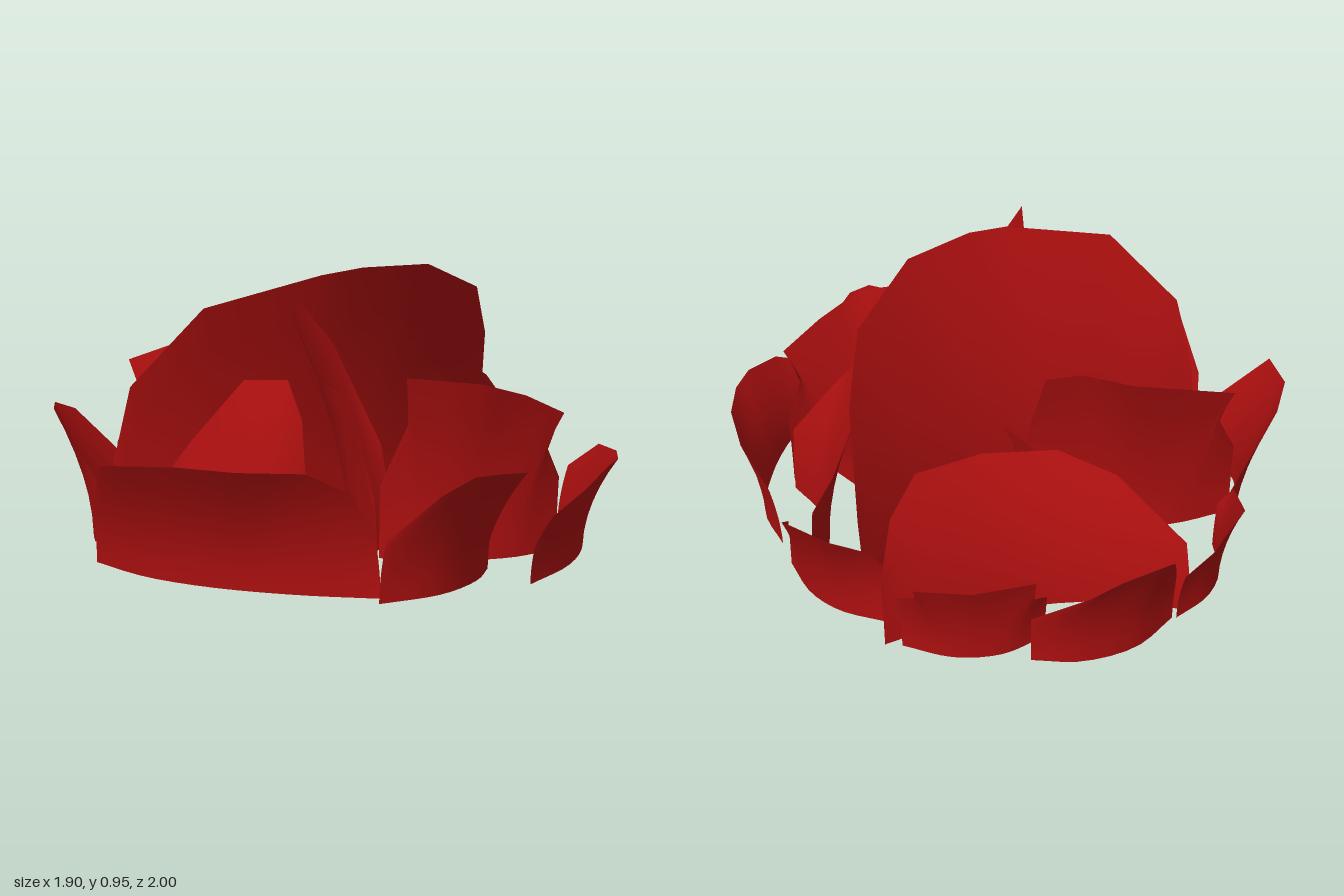
import * as THREE from 'three';

const material = new THREE.MeshStandardMaterial({ color: 0xb01010, side: THREE.DoubleSide });
const ROWS = 6;

// A curved, flaring plate: a smooth foot curve on the ground [x, z] rising
// to an angular rim [x, y, z]. It starts upright and bends outward with height.
function plate(name, foot, rim) {
  const footCurve = new THREE.CatmullRomCurve3(foot.map(([x, z]) => new THREE.Vector3(x, 0, z)));
  const rimPath = new THREE.CurvePath();
  const pts = rim.map((p) => new THREE.Vector3(...p));
  const cols = (pts.length - 1) * 2;
  const geometry = new THREE.PlaneGeometry(1, 1, cols, ROWS);
  const pos = geometry.attributes.position;
  for (let c = 0; c <= cols; c++) {
    const k = Math.min(Math.floor(c / 2), pts.length - 2);
    const top = pts[k].clone().lerp(pts[k + 1], c / 2 - k);
    const base = footCurve.getPoint(c / cols);
    for (let r = 0; r <= ROWS; r++) {
      const t = 1 - r / ROWS, lean = Math.pow(t, 1.8);
      pos.setXYZ(r * (cols + 1) + c,
        base.x + (top.x - base.x) * lean, top.y * t, base.z + (top.z - base.z) * lean);
    }
  }
  geometry.computeVertexNormals();
  const mesh = new THREE.Mesh(geometry, material);
  mesh.name = name;
  return mesh;
}

export function createModel() {
  const group = new THREE.Group();
  group.name = 'platedCluster';
  const add = (...args) => group.add(plate(...args));

  // Tall central plate
  add('centralPlate',
    [[-0.78, -0.15], [-0.4, -0.03], [0, 0.02], [0.38, -0.03], [0.74, -0.15]],
    [[-0.77, 0.33, -0.13], [-0.74, 0.57, -0.07], [-0.56, 0.83, 0.1], [-0.2, 0.93, 0.24], [-0.05, 0.95, 0.26],
      [0.22, 0.95, 0.25], [0.52, 0.85, 0.13], [0.66, 0.67, 0], [0.74, 0.33, -0.13]]);

  // Outer ring of low plates, clockwise from the front right
  add('outerRightFrontPlate',
    [[-0.86, -0.09], [-0.82, 0.18], [-0.71, 0.42], [-0.54, 0.64], [-0.36, 0.81]],
    [[-0.88, 0.2, -0.07], [-0.95, 0.36, 0.12], [-0.94, 0.38, 0.26], [-0.87, 0.4, 0.46], [-0.76, 0.4, 0.64],
      [-0.6, 0.4, 0.77], [-0.47, 0.33, 0.815], [-0.38, 0.19, 0.81]]);
  add('outerFrontPlate',
    [[-0.4, 0.86], [-0.18, 0.87], [0.02, 0.79], [0.15, 0.68]],
    [[-0.39, 0.19, 0.88], [-0.25, 0.33, 0.97], [-0.15, 0.38, 1], [-0.06, 0.38, 1], [0.13, 0.35, 0.9],
      [0.14, 0.28, 0.82], [0.17, 0.19, 0.69]]);
  add('outerLeftFrontPlate',
    [[0.13, 0.92], [0.38, 0.8], [0.57, 0.65], [0.71, 0.48], [0.76, 0.3]],
    [[0.14, 0.13, 0.93], [0.2, 0.21, 0.94], [0.33, 0.28, 0.94], [0.5, 0.33, 0.86], [0.6, 0.33, 0.79],
      [0.7, 0.33, 0.67], [0.78, 0.32, 0.49], [0.78, 0.22, 0.33]]);
  add('outerLeftPlate',
    [[0.8, 0.19], [0.84, 0.02], [0.82, -0.12], [0.74, -0.26]],
    [[0.8, 0.18, 0.19], [0.92, 0.32, 0.04], [0.95, 0.38, -0.06], [0.91, 0.38, -0.21], [0.8, 0.32, -0.27],
      [0.72, 0.2, -0.28]]);
  add('outerLeftBackPlate',
    [[0.77, -0.39], [0.68, -0.54], [0.55, -0.63], [0.39, -0.65]],
    [[0.8, 0.22, -0.4], [0.79, 0.27, -0.49], [0.82, 0.33, -0.52], [0.69, 0.33, -0.65], [0.48, 0.3, -0.71],
      [0.47, 0.22, -0.69], [0.39, 0.17, -0.66]]);
  add('outerBackPlate',
    [[0.5, -0.71], [0.38, -0.82], [0.2, -0.88], [0.01, -0.85]],
    [[0.51, 0.18, -0.72], [0.43, 0.34, -0.91], [0.35, 0.39, -0.96], [0.18, 0.4, -1], [0.08, 0.3, -0.92],
      [0.01, 0.18, -0.86]]);
  add('outerRightBackPlate',
    [[0, -0.86], [-0.15, -0.85], [-0.27, -0.79], [-0.37, -0.66]],
    [[0.01, 0.2, -0.9], [-0.1, 0.26, -0.92], [-0.09, 0.34, -0.96], [-0.25, 0.34, -0.9], [-0.39, 0.26, -0.72],
      [-0.37, 0.18, -0.67]]);
  add('outerRightPlate',
    [[-0.42, -0.66], [-0.57, -0.58], [-0.71, -0.42], [-0.75, -0.22]],
    [[-0.43, 0.2, -0.67], [-0.66, 0.42, -0.65], [-0.77, 0.46, -0.58], [-0.84, 0.46, -0.44], [-0.76, 0.2, -0.23]]);

  // Inner back plates
  add('innerBackLongPlate',
    [[-0.06, -0.86], [0.11, -0.66], [0.32, -0.51], [0.55, -0.41], [0.81, -0.35]],
    [[-0.07, 0.25, -0.82], [0.03, 0.44, -0.59], [0.15, 0.51, -0.43], [0.37, 0.53, -0.31], [0.6, 0.53, -0.26],
      [0.72, 0.42, -0.28], [0.81, 0.25, -0.34]]);
  add('innerBackTallPlate',
    [[-0.55, -0.56], [-0.33, -0.48], [-0.13, -0.32], [0, -0.11]],
    [[-0.53, 0.3, -0.58], [-0.42, 0.47, -0.6], [-0.45, 0.58, -0.64], [-0.09, 0.7, -0.52], [0, 0.71, -0.38],
      [0.08, 0.68, -0.29], [0.02, 0.3, -0.11]]);
  add('innerBackRightPlate',
    [[-0.47, -0.5], [-0.37, -0.35], [-0.34, -0.2], [-0.38, -0.04]],
    [[-0.45, 0.22, -0.51], [-0.38, 0.38, -0.47], [-0.27, 0.45, -0.33], [-0.26, 0.45, -0.25], [-0.27, 0.4, -0.11],
      [-0.36, 0.22, -0.04]]);
  add('innerBackLeftPlate',
    [[-0.01, -0.6], [0.07, -0.45], [0.1, -0.3], [0.05, -0.1]],
    [[0.01, 0.22, -0.59], [0.08, 0.4, -0.55], [0.17, 0.47, -0.36], [0.16, 0.47, -0.17], [0.12, 0.38, -0.19],
      [0.06, 0.22, -0.11]]);

  // Inner front plates
  add('innerFrontRightPlate',
    [[-0.7, 0.05], [-0.55, 0.22], [-0.49, 0.4], [-0.52, 0.62]],
    [[-0.67, 0.3, 0.05], [-0.6, 0.4, 0.08], [-0.46, 0.6, 0.18], [-0.38, 0.61, 0.32], [-0.41, 0.5, 0.45],
      [-0.5, 0.27, 0.62]]);
  add('innerFrontTallPlate',
    [[-0.36, 0.8], [-0.25, 0.5], [-0.08, 0.32], [0.08, 0.24]],
    [[-0.37, 0.3, 0.79], [-0.4, 0.6, 0.69], [-0.42, 0.64, 0.57], [-0.45, 0.84, 0.45], [-0.27, 0.84, 0.22],
      [-0.1, 0.7, 0.15], [0.05, 0.35, 0.22]]);
  add('innerFrontLeftPlate',
    [[0.81, 0.05], [0.65, 0.18], [0.56, 0.34], [0.54, 0.54]],
    [[0.8, 0.3, 0.04], [0.7, 0.38, 0.06], [0.59, 0.52, 0.09], [0.51, 0.57, 0.13], [0.41, 0.57, 0.33],
      [0.46, 0.45, 0.41], [0.53, 0.25, 0.54]]);
  add('innerFrontSmallPlate',
    [[0.22, 0.08], [0.32, 0.24], [0.36, 0.38], [0.37, 0.53]],
    [[0.25, 0.25, 0.08], [0.36, 0.42, 0.12], [0.44, 0.46, 0.19], [0.46, 0.45, 0.27], [0.44, 0.38, 0.36],
      [0.39, 0.22, 0.53]]);
  add('innerFrontCrossPlate',
    [[-0.06, 0.37], [0.1, 0.52], [0.3, 0.6], [0.51, 0.59]],
    [[-0.07, 0.25, 0.39], [-0.03, 0.46, 0.49], [-0.08, 0.62, 0.55], [0.12, 0.6, 0.68], [0.3, 0.55, 0.68],
      [0.46, 0.48, 0.68], [0.42, 0.37, 0.64], [0.51, 0.25, 0.6]]);

  return group;
}
